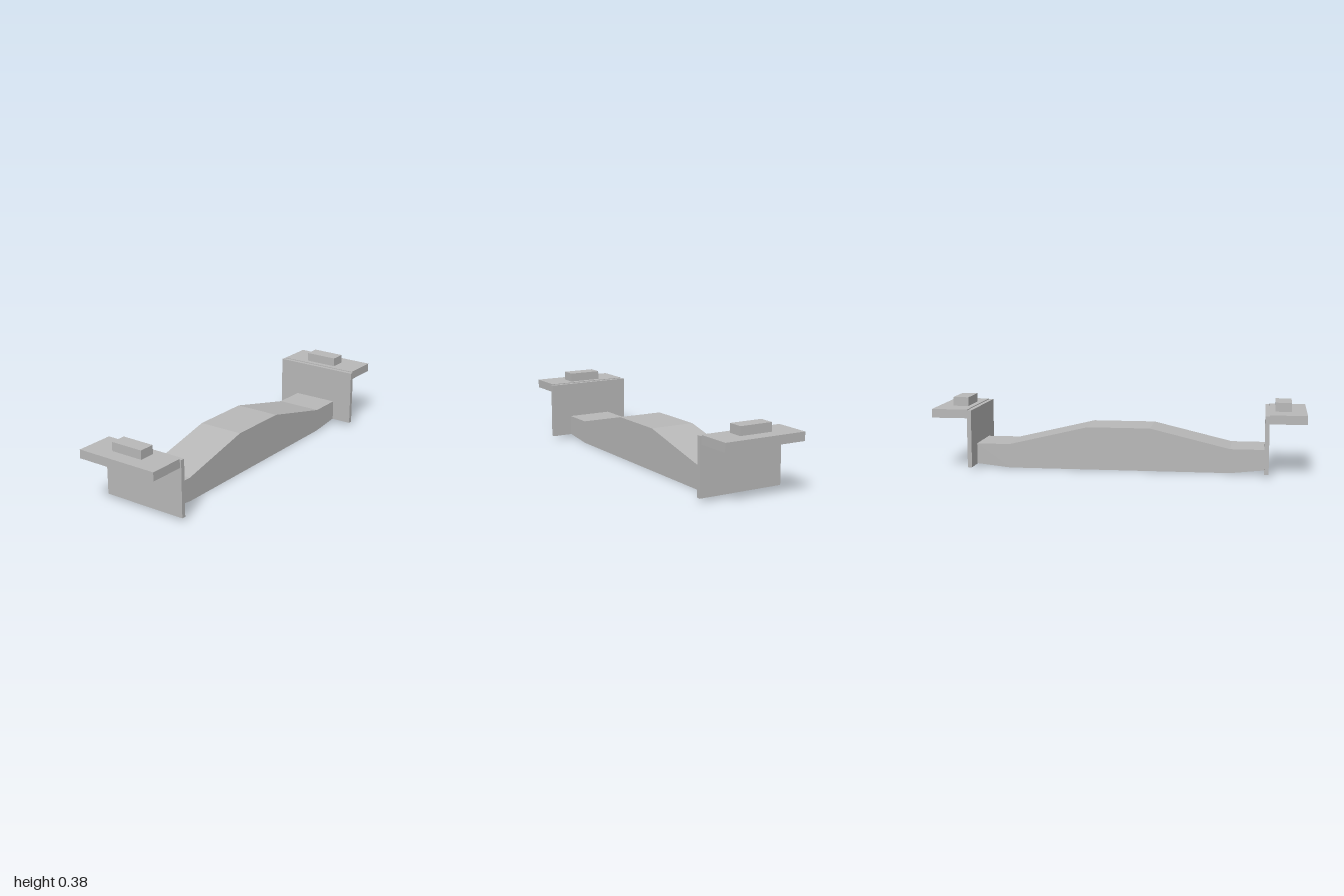
import * as THREE from 'three';

const grey = new THREE.MeshStandardMaterial({ color: 0xb8b8b8 });
grey.name = 'plain grey';

// Box given by its lower and upper limits in x and y, centred on z = 0
function block(name, x0, x1, y0, y1, depth) {
  const mesh = new THREE.Mesh(new THREE.BoxGeometry(x1 - x0, y1 - y0, depth), grey);
  mesh.position.set((x0 + x1) / 2, (y0 + y1) / 2, 0);
  mesh.name = name;
  return mesh;
}

export function createModel() {
  const model = new THREE.Group();
  model.name = 'crossmember';

  // Arched beam: half profile mirrored, then extruded front to back
  const half = [[0.6, 0], [0.785, 0.02], [0.785, 0.13], [0.6, 0.13], [0.17, 0.232]];
  const mirrored = half.map(([x, y]) => [-x, y]).reverse();
  const profile = new THREE.Shape([...half, ...mirrored].map(([x, y]) => new THREE.Vector2(x, y)));
  const depth = 0.256;
  const beamGeometry = new THREE.ExtrudeGeometry(profile, { depth, bevelEnabled: false });
  beamGeometry.translate(0, 0, -depth / 2);
  const beam = new THREE.Mesh(beamGeometry, grey);
  beam.name = 'beam';
  model.add(beam);

  // Upright plate, shelf and raised pad at each end
  for (const [side, sign] of [['left', 1], ['right', -1]]) {
    const bracket = new THREE.Group();
    bracket.name = side + 'Bracket';
    bracket.add(
      block('endPlate', 0.782, 0.805, 0.018, 0.327, 0.485),
      block('shelf', 0.805, 1, 0.284, 0.331, 0.468),
      block('pad', 0.835, 0.921, 0.331, 0.379, 0.185),
    );
    if (sign < 0) bracket.rotation.y = Math.PI;
    model.add(bracket);
  }
  return model;
}
